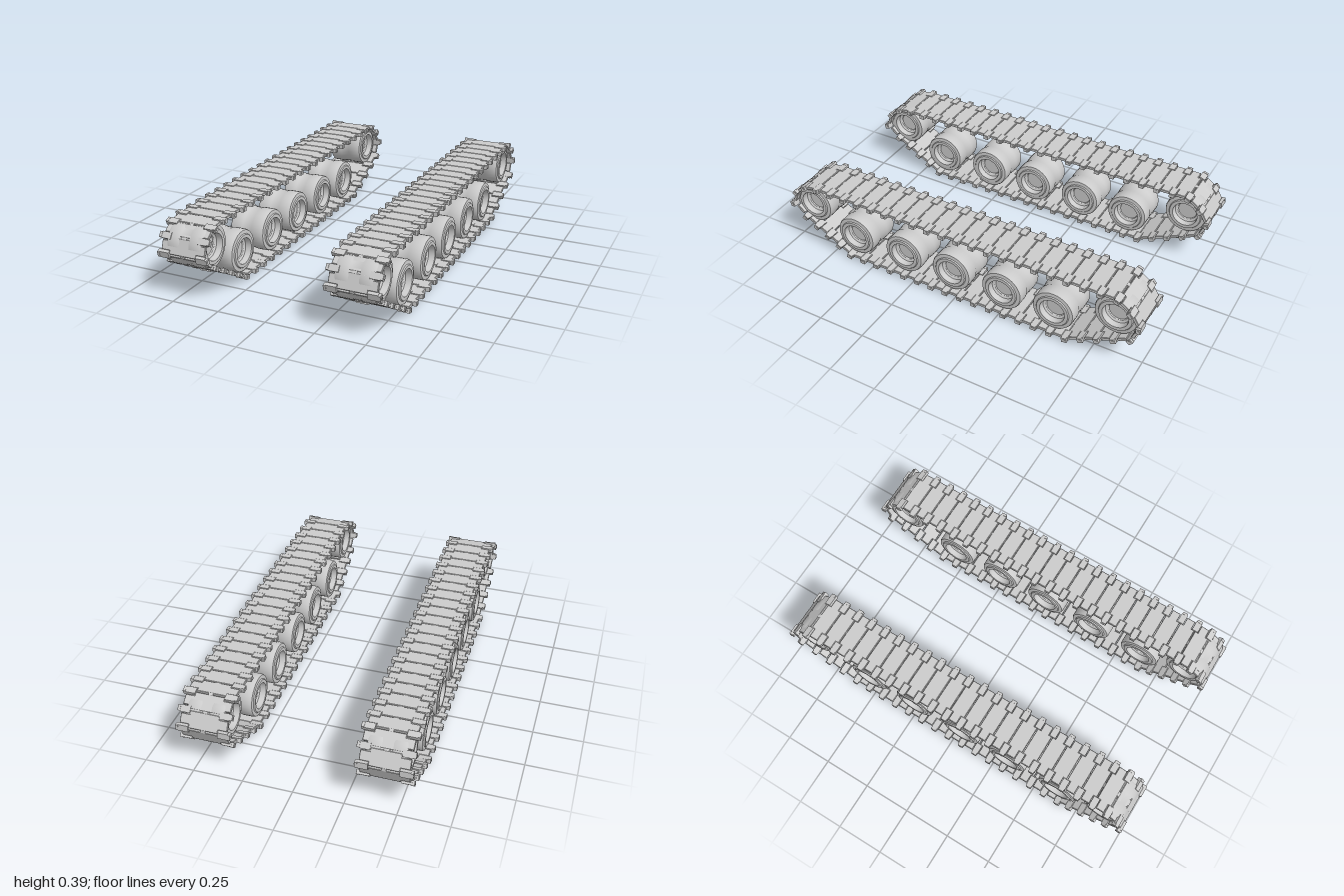
import * as THREE from 'three';
import { mergeGeometries, toCreasedNormals } from 'three/addons/utils/BufferGeometryUtils.js';

const material = new THREE.MeshStandardMaterial({ color: 0xcccccc });
const PITCH = 0.083, TRACK_X = 0.4325;

// Closed loop of the track as [z, y] corners, starting at the top front
const LOOP = [
  [0.82, 0.377], [-0.87, 0.377], [-0.94, 0.325], [-0.985, 0.25], [-0.95, 0.168],
  [-0.62, 0.018], [0.645, 0.016], [0.915, 0.172], [0.988, 0.237], [0.96, 0.318], [0.9, 0.365],
];
// Wheel centres as [z, y]
const ROAD_WHEELS = [0.617, 0.318, 0.035, -0.254, -0.537].map(z => [z, 0.139]);
const END_WHEELS = [[0.874, 0.262], [-0.858, 0.262]];

function box(w, h, d, x = 0, y = 0, z = 0) {
  return new THREE.BoxGeometry(w, h, d).translate(x, y, z);
}

// Plate with notched corners that leave room for the connectors
function plateGeometry() {
  const w = 0.118, n = 0.073, a = PITCH / 2 - 0.019, b = PITCH / 2 - 0.002;
  const outline = [[-w, -a], [-n, -a], [-n, -b], [n, -b], [n, -a], [w, -a],
    [w, a], [n, a], [n, b], [-n, b], [-n, a], [-w, a]];
  const shape = new THREE.Shape(outline.map(p => new THREE.Vector2(...p)));
  const g = new THREE.ExtrudeGeometry(shape, { depth: 0.012, bevelEnabled: true,
    bevelSize: 0.002, bevelThickness: 0.002, bevelOffset: -0.002, bevelSegments: 1 });
  return g.translate(0, 0, -0.006).rotateX(Math.PI / 2);
}

// Pair of end connectors with pin tips and a small centre tab
function connectorGeometry() {
  const parts = [box(0.022, 0.012, 0.014)];
  for (const s of [-1, 1]) {
    parts.push(box(0.05, 0.021, 0.033, s * 0.0985));
    parts.push(box(0.013, 0.024, 0.028, s * 0.129));
    const pin = new THREE.CylinderGeometry(0.008, 0.008, 0.006, 8);
    parts.push(pin.rotateZ(Math.PI / 2).translate(s * 0.1345, 0, 0));
  }
  return mergeGeometries(parts);
}

// Wheel turned about x: bevelled tyre, raised rim and dished hub on both sides
function wheelGeometry() {
  const half = [[0, 0.058], [0.05, 0.058], [0.053, 0.064], [0.064, 0.07], [0.067, 0.102],
    [0.084, 0.102], [0.088, 0.096], [0.106, 0.094], [0.11, 0.086], [0.11, 0.03], [0.107, 0.024]];
  const mirrored = half.map(([r, x]) => [r, -x]);
  const profile = [...mirrored, ...half.reverse()].map(p => new THREE.Vector2(...p));
  const g = new THREE.LatheGeometry(profile, 32);
  return toCreasedNormals(g, 0.5).rotateZ(Math.PI / 2);
}

// Split every side of the loop into whole links
function trackJoints() {
  const joints = [];
  LOOP.forEach(([z, y], i) => {
    const [z2, y2] = LOOP[(i + 1) % LOOP.length];
    const n = Math.max(1, Math.round(Math.hypot(z2 - z, y2 - y) / PITCH));
    for (let k = 0; k < n; k++) {
      joints.push(new THREE.Vector3(0, y + (y2 - y) * k / n, z + (z2 - z) * k / n));
    }
  });
  return joints;
}

function addMesh(parent, name, geometry, position, direction) {
  const mesh = new THREE.Mesh(geometry, material);
  mesh.name = name;
  mesh.position.copy(position);
  if (direction) {
    const x = new THREE.Vector3(1, 0, 0);
    const d = direction.clone().normalize();
    const normal = d.clone().cross(x);
    mesh.quaternion.setFromRotationMatrix(new THREE.Matrix4().makeBasis(x, normal, d));
  }
  parent.add(mesh);
  return mesh;
}

export function createModel() {
  const model = new THREE.Group();
  model.name = 'trackedRunningGear';
  const plate = plateGeometry(), connector = connectorGeometry(), wheel = wheelGeometry();
  const joints = trackJoints(), count = joints.length;

  for (const side of [-1, 1]) {
    const assembly = new THREE.Group();
    assembly.name = side > 0 ? 'leftAssembly' : 'rightAssembly';
    assembly.position.x = side * TRACK_X;

    // Track belt
    const track = new THREE.Group();
    track.name = 'track';
    joints.forEach((p, i) => {
      const next = joints[(i + 1) % count], prev = joints[(i + count - 1) % count];
      const along = next.clone().sub(p);
      const link = addMesh(track, 'trackLink', plate, p.clone().lerp(next, 0.5), along);
      link.scale.z = along.length() / PITCH;
      const bend = along.clone().normalize().add(p.clone().sub(prev).normalize());
      addMesh(track, 'trackConnector', connector, p, bend);
    });
    assembly.add(track);

    // Wheels
    for (const [z, y] of ROAD_WHEELS) {
      addMesh(assembly, 'roadWheel', wheel, new THREE.Vector3(0, y, z));
    }
    for (const [z, y] of END_WHEELS) {
      addMesh(assembly, z > 0 ? 'frontWheel' : 'rearWheel', wheel, new THREE.Vector3(0, y, z));
    }
    model.add(assembly);
  }
  return model;
}
